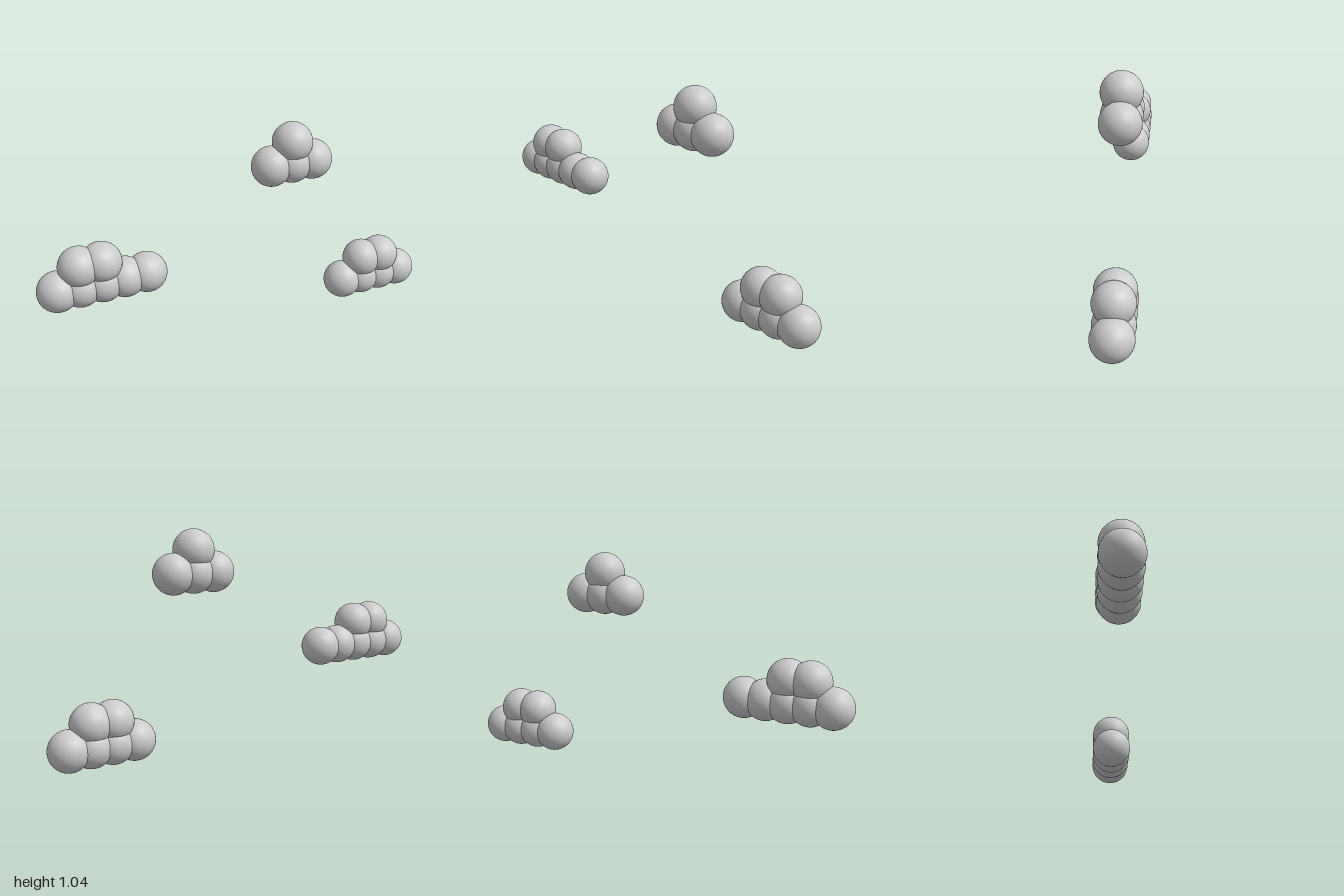
import * as THREE from 'three';

const RADIUS = 2 / 20.7;    // puff radius
const STEP = RADIUS * 1.1;  // spacing between neighbouring puffs

// Each cloud: grid column and row of its first puff, bottom row count, columns of the upper puffs
const CLOUDS = [
  { name: 'leftLowCloud', column: 14, row: 0, count: 4, upper: [1, 2] },
  { name: 'rightMiddleCloud', column: 0, row: 3, count: 5, upper: [1, 2] },
  { name: 'smallHighCloud', column: 10, row: 7, count: 3, upper: [1] },
];

export function createModel() {
  const model = new THREE.Group();
  model.name = 'clouds';
  const puffGeometry = new THREE.SphereGeometry(RADIUS, 48, 32);
  const material = new THREE.MeshStandardMaterial({ color: 0xcccccc });

  for (const { name, column, row, count, upper } of CLOUDS) {
    const cloud = new THREE.Group();
    cloud.name = name;
    cloud.position.set(-1 + RADIUS + column * STEP, RADIUS + row * STEP, 0);

    const addPuff = (puffName, i, level) => {
      const puff = new THREE.Mesh(puffGeometry, material);
      puff.name = puffName;
      puff.position.set(i * STEP, level * STEP, 0);
      cloud.add(puff);
    };

    // Bottom row of puffs, then the puffs stacked on it
    for (let i = 0; i < count; i++) addPuff('lowerPuff', i, 0);
    for (const i of upper) addPuff('upperPuff', i, 1);
    model.add(cloud);
  }
  return model;
}
